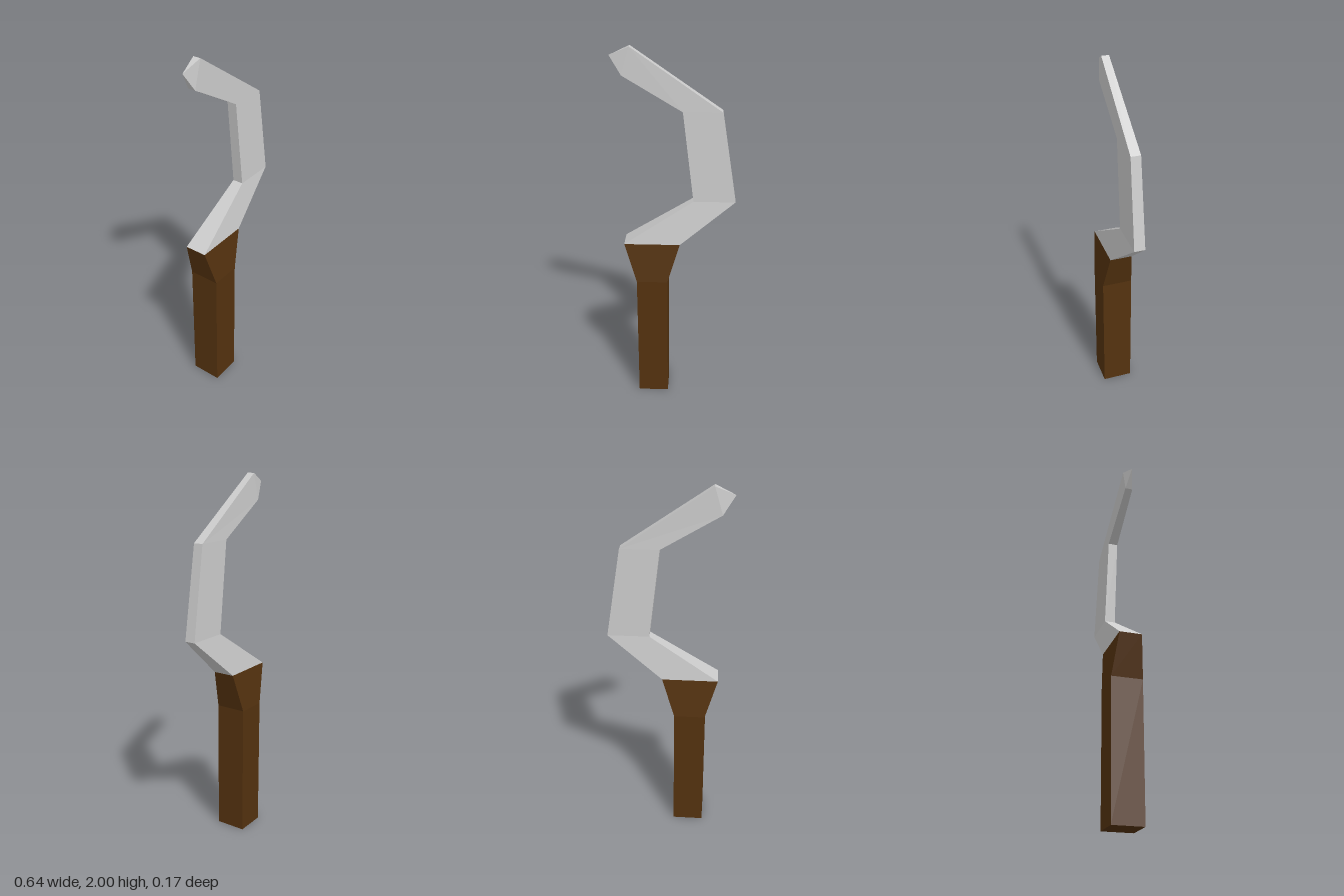
import * as THREE from 'three';

// Lofts four-sided sections [leftX, leftY, rightX, rightY, halfDepth]; a section of zero depth is a point.
function loft(sections, capBottom, capTop) {
  const rings = sections.map(([lx, ly, rx, ry, d]) => [
    new THREE.Vector3(lx, ly, d), new THREE.Vector3(rx, ry, d),
    new THREE.Vector3(rx, ry, -d), new THREE.Vector3(lx, ly, -d),
  ]);
  const points = [];
  for (let s = 0; s < rings.length - 1; s++) {
    const low = rings[s], high = rings[s + 1];
    for (let i = 0; i < 4; i++) {
      const j = (i + 1) % 4;
      points.push(low[i], low[j], high[j]);
      if (sections[s + 1][4] > 0) points.push(low[i], high[j], high[i]);
    }
  }
  if (capBottom) {
    const [a, b, c, d] = rings[0];
    points.push(a, c, b, a, d, c);
  }
  if (capTop) {
    const [a, b, c, d] = rings[rings.length - 1];
    points.push(a, b, c, a, c, d);
  }
  const geometry = new THREE.BufferGeometry().setFromPoints(points);
  geometry.computeVertexNormals();
  return geometry;
}

function addPart(group, name, geometry, color) {
  const material = new THREE.MeshStandardMaterial({ color, flatShading: true });
  const mesh = new THREE.Mesh(geometry, material);
  mesh.name = name;
  group.add(mesh);
}

export function createModel() {
  const group = new THREE.Group();
  group.name = 'hookedBlade';

  // Square grip that flares sideways and thins towards the blade
  addPart(group, 'handle', loft([
    [-0.205, 0, -0.037, 0, 0.084],
    [-0.205, 0.735, -0.037, 0.735, 0.084],
    [-0.27, 0.955, 0.03, 0.955, 0.06],
  ], true, true), 0x54320f);

  // Bent blade, tapering in thickness to a point
  addPart(group, 'blade', loft([
    [-0.27, 0.955, 0.03, 0.955, 0.06],
    [0.1, 1.197, 0.322, 1.197, 0.029],
    [0.042, 1.68, 0.244, 1.68, 0.026],
    [-0.262, 1.86, -0.22, 2, 0.02],
    [-0.322, 1.955, -0.322, 1.955, 0],
  ], false, false), 0xcccccc);

  return group;
}
